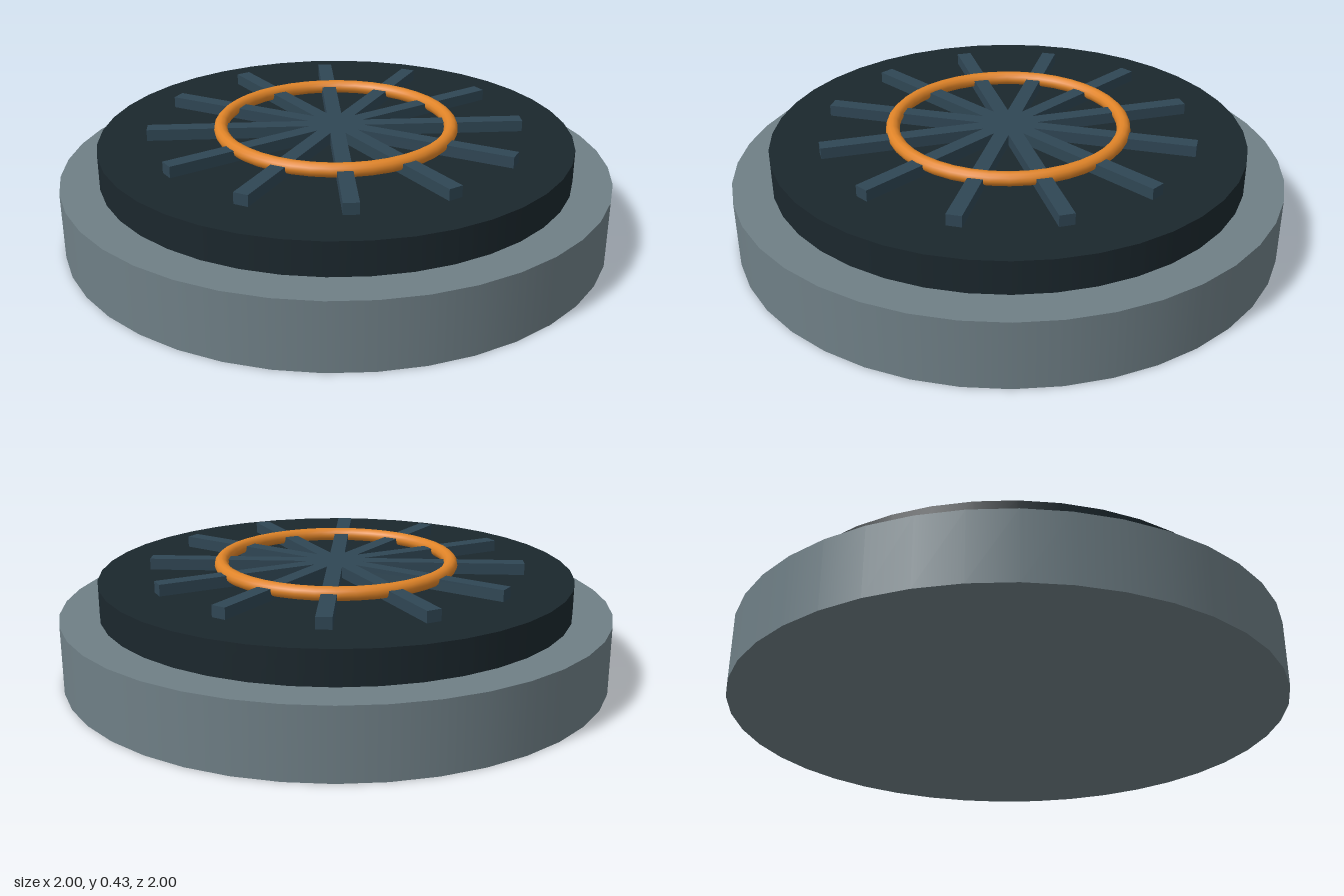
import * as THREE from 'three';

const material = (color) => new THREE.MeshStandardMaterial({ color });

export function createModel() {
  const group = new THREE.Group();
  const add = (name, geometry, mat, y) => {
    const mesh = new THREE.Mesh(geometry, mat);
    mesh.name = name;
    mesh.position.y = y;
    group.add(mesh);
    return mesh;
  };

  // Stacked round body
  add('base', new THREE.CylinderGeometry(1, 1, 0.245, 40), material(0x6f7f86), 0.1225);
  add('upperDisc', new THREE.CylinderGeometry(0.86, 0.86, 0.12, 40), material(0x1b272d), 0.305);

  // Six bars crossing at the centre make twelve spokes
  const spokeMaterial = material(0x2f4654);
  const spokeGeometry = new THREE.BoxGeometry(1.366, 0.041, 0.054);
  for (let i = 0; i < 6; i++) {
    add('spokeBar', spokeGeometry, spokeMaterial, 0.3855).rotation.y = (i * Math.PI) / 6;
  }

  // Ring lying over the spokes
  const ring = new THREE.TorusGeometry(0.418, 0.025, 12, 40).rotateX(Math.PI / 2);
  add('ring', ring, material(0xe08428), 0.401);

  return group;
}
